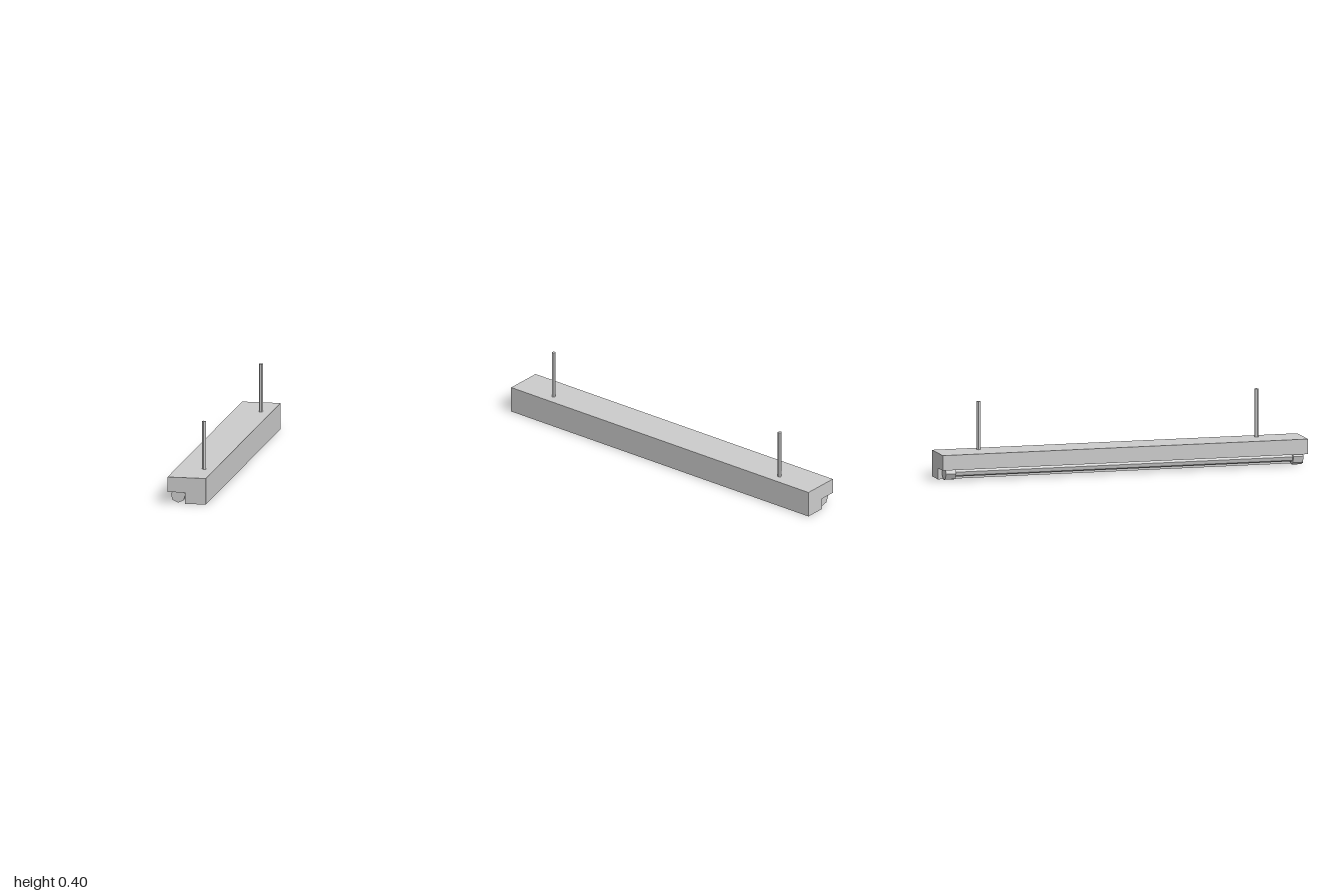
import * as THREE from 'three';

const material = new THREE.MeshStandardMaterial({ color: 0xcccccc, flatShading: true });

function add(group, name, geometry, x = 0, y = 0, z = 0) {
  const mesh = new THREE.Mesh(geometry, material);
  mesh.name = name;
  mesh.position.set(x, y, z);
  group.add(mesh);
  return mesh;
}

// Prism lying along z, with one corner pointing straight down
function prismZ(radius, length, sides) {
  return new THREE.CylinderGeometry(radius, radius, length, sides).rotateX(Math.PI / 2);
}

export function createModel() {
  const group = new THREE.Group();
  group.name = 'hangingLamp';

  // Housing: L-shaped section running the full length
  const section = new THREE.Shape([
    [-0.103, 0.06], [-0.01, 0.06], [-0.01, 0], [0.102, 0], [0.102, 0.14], [-0.103, 0.14],
  ].map(([x, y]) => new THREE.Vector2(x, y)));
  const housing = new THREE.ExtrudeGeometry(section, { depth: 2, bevelEnabled: false });
  add(group, 'housing', housing.translate(0, 0, -1));

  // Lamp tube tucked under the ledge
  const lampX = -0.051, lampY = 0.039;
  add(group, 'lampTube', prismZ(0.022, 1.9, 7), lampX, lampY, 0);

  // Wider sockets at both ends, and the two suspension rods
  for (const side of [1, -1]) {
    const end = side > 0 ? 'front' : 'back';
    const socket = add(group, end + 'Socket', prismZ(0.039, 0.055, 7), lampX, lampY, side * 0.951);
    if (side < 0) socket.rotation.z = 0.25;
    const rod = new THREE.CylinderGeometry(0.011, 0.011, 0.257, 5);
    add(group, end + 'Rod', rod, 0.045, 0.2685, side * 0.76).rotation.y = side > 0 ? 0 : Math.PI;
  }
  return group;
}
